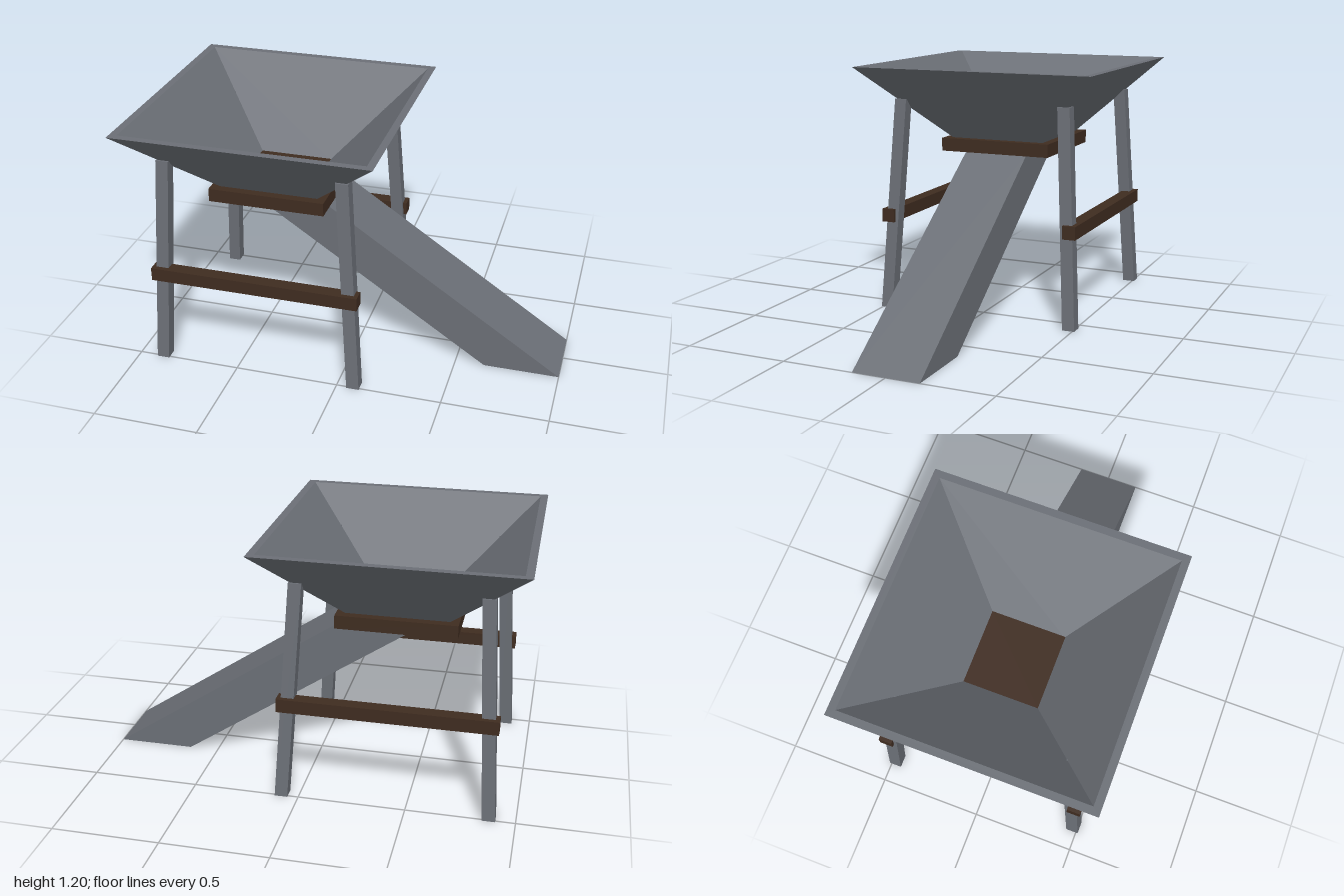
import * as THREE from 'three';

const metal = new THREE.MeshStandardMaterial({ color: 0x6b6f76, flatShading: true });
const wood = new THREE.MeshStandardMaterial({ color: 0x3f2c20, flatShading: true });
const CX = -0.4; // centre of the hopper and its stand

function add(group, name, geometry, material, x = 0, y = 0, z = 0) {
  const mesh = new THREE.Mesh(geometry, material);
  mesh.name = name;
  mesh.position.set(x, y, z);
  group.add(mesh);
}

// Square post standing on y = 0, sheared so its top leans toward the centre
function legGeometry(sx, sz) {
  const height = 1.04, lean = 0.06;
  const geometry = new THREE.BoxGeometry(0.06, height, 0.06).translate(0, height / 2, 0);
  const p = geometry.attributes.position;
  for (let i = 0; i < p.count; i++) {
    const shift = lean * p.getY(i) / height;
    p.setX(i, p.getX(i) - sx * shift);
    p.setZ(i, p.getZ(i) - sz * shift);
  }
  geometry.computeVertexNormals();
  return geometry;
}

export function createModel() {
  const group = new THREE.Group();
  group.name = 'hopperWithChute';

  // Square funnel with a thin wall: half-width and height of each ring
  const profile = [[0.175, 0.832], [0.236, 0.832], [0.6, 1.2], [0.565, 1.2], [0.175, 0.832]]
    .map(([half, y]) => new THREE.Vector2(half * Math.SQRT2, y));
  add(group, 'hopper', new THREE.LatheGeometry(profile, 4, Math.PI / 4), metal, CX);

  // Wooden plate closing the funnel
  add(group, 'basePlate', new THREE.BoxGeometry(0.56, 0.064, 0.56), wood, CX, 0.803, 0);

  // Splayed legs
  for (const sx of [-1, 1]) {
    for (const sz of [-1, 1]) {
      const name = (sz > 0 ? 'front' : 'back') + (sx > 0 ? 'Left' : 'Right') + 'Leg';
      add(group, name, legGeometry(sx, sz), metal, CX + sx * 0.48, 0, sz * 0.48);
    }
  }

  // Cross rails joining the legs at the front and back
  for (const sz of [-1, 1]) {
    add(group, sz > 0 ? 'frontRail' : 'backRail',
      new THREE.BoxGeometry(1, 0.064, 0.064), wood, CX, 0.466, sz * 0.472);
  }

  // Sloping chute, cut level at the plate and at the ground
  const side = new THREE.Shape([[0.64, 0], [1, 0], [-0.16, 0.78], [-0.52, 0.78]]
    .map(([x, y]) => new THREE.Vector2(x, y)));
  const chute = new THREE.ExtrudeGeometry(side, { depth: 0.32, bevelEnabled: false });
  add(group, 'chute', chute, metal, 0, 0, -0.16);

  return group;
}
